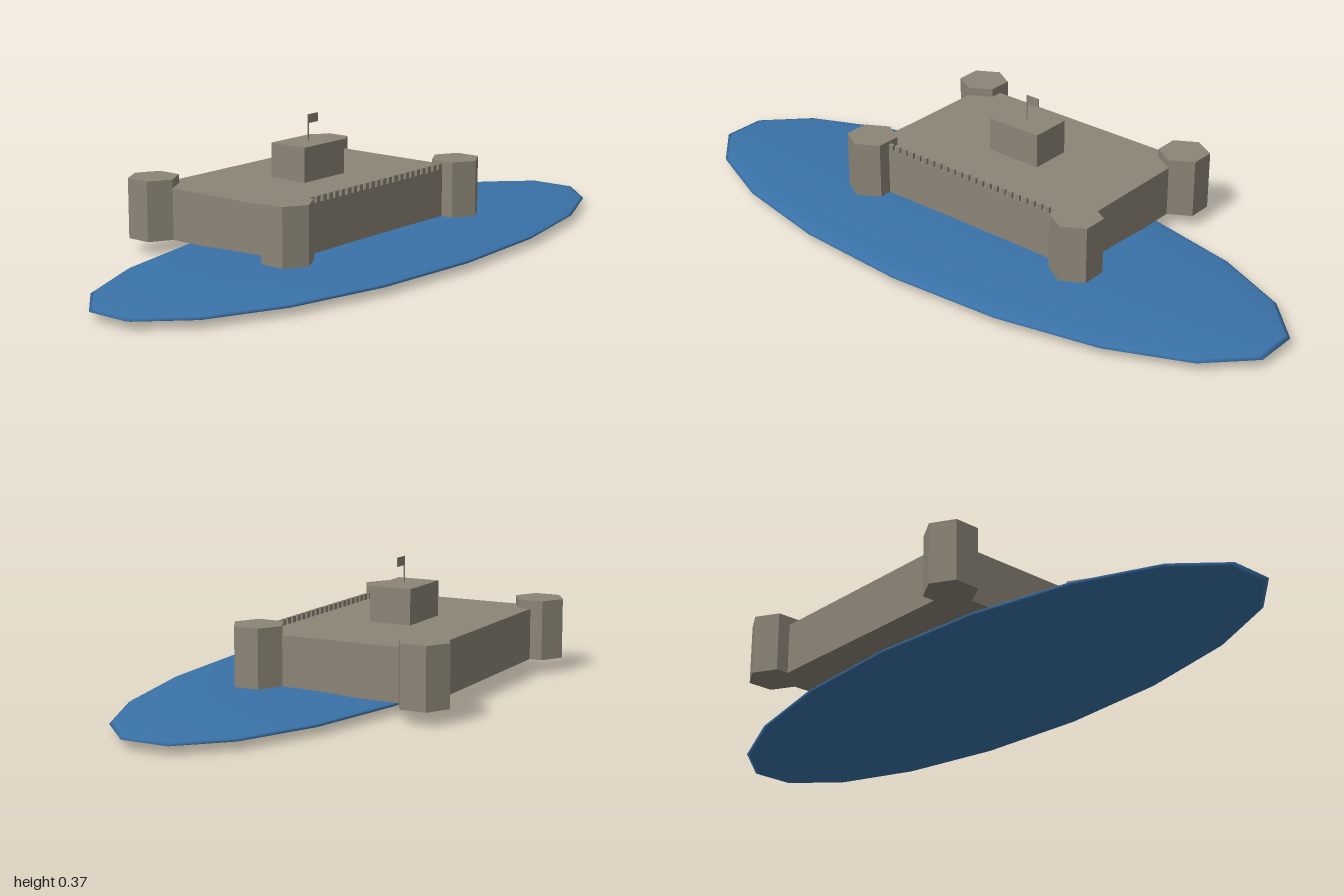
import * as THREE from 'three';

export function createModel() {
  const model = new THREE.Group();
  const stone = new THREE.MeshStandardMaterial({ color: 0x8c8577 });
  stone.name = 'stone';
  stone.flatShading = true;
  const water = new THREE.MeshStandardMaterial({ color: 0x3a72a8 });
  water.name = 'water blue';

  const add = (name, geometry, material, x, y, z) => {
    const mesh = new THREE.Mesh(geometry, material);
    mesh.name = name;
    mesh.position.set(x, y, z);
    model.add(mesh);
    return mesh;
  };
  // Box given by its centre in x and z and its bottom in y
  const block = (name, w, h, d, x, y, z) =>
    add(name, new THREE.BoxGeometry(w, h, d), stone, x, y + h / 2, z);

  // Flattened lake with 18 sides, a corner pointing to the front
  const lake = new THREE.SphereGeometry(1, 18, 18, Math.PI / 2);
  lake.scale(1.0154, 0.025, 0.3775);
  add('lake', lake, water, 0, 0.025, 0.0765);

  // Main fortress and the keep on its roof
  block('fortressWalls', 0.76, 0.15, 0.505, 0, 0.04, -0.1275);
  block('keep', 0.177, 0.102, 0.126, 0, 0.19, -0.1275);

  // Hexagonal corner towers, corners pointing along z
  for (const x of [-0.38, 0.38]) {
    for (const z of [0.125, -0.38]) {
      add('cornerTower', new THREE.CylinderGeometry(0.075, 0.075, 0.175, 6), stone, x, 0.1275, z);
    }
  }

  // Battlements along the front wall
  const count = 24, pitch = 0.0265;
  for (let i = 0; i < count; i++) {
    block('merlon', 0.015, 0.018, 0.008, (i - (count - 1) / 2) * pitch, 0.19, 0.122);
  }

  // Flagpole and flag
  add('flagpole', new THREE.CylinderGeometry(0.002, 0.002, 0.08, 8), stone, 0, 0.33, -0.1265);
  block('flag', 0.042, 0.026, 0.002, 0.022, 0.344, -0.1265);

  return model;
}
